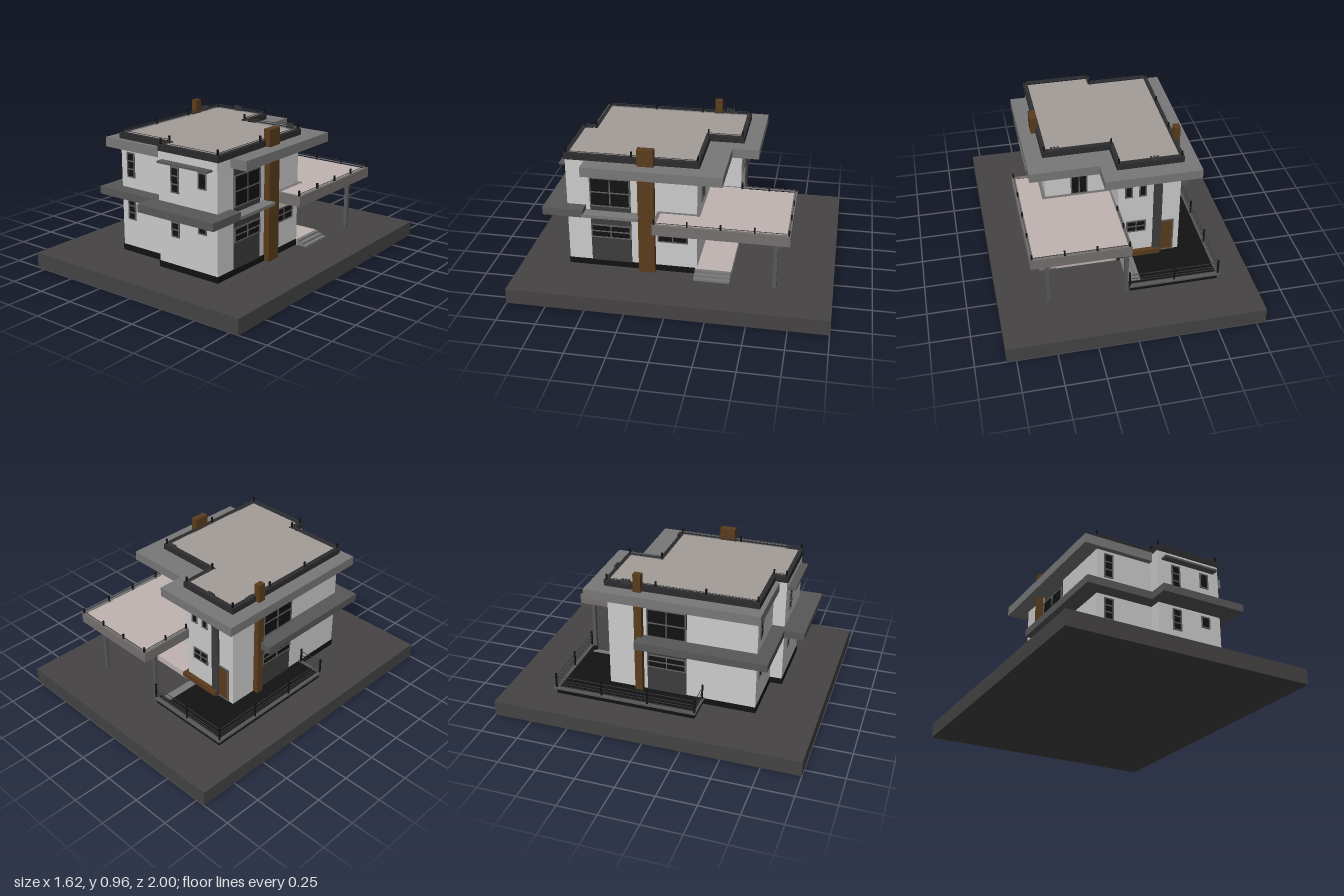
import * as THREE from 'three';

const mat = (color) => new THREE.MeshStandardMaterial({ color, flatShading: true });
const M = {
  wall: mat(0xcccccc), ground: mat(0x454343), slab: mat(0x787878), mid: mat(0x585858),
  black: mat(0x121212), dark: mat(0x3c3c3c), parapet: mat(0x2c2c2e), brown: mat(0x5a3c1c),
  pink: mat(0xc0b4b2), roof: mat(0xa39d9a), deck: mat(0x757070), frame: mat(0x606060),
};

export function createModel() {
  const root = new THREE.Group();

  const add = (name, geo, m, parent = root) => {
    const mesh = new THREE.Mesh(geo, m);
    mesh.name = name;
    parent.add(mesh);
    return mesh;
  };
  // Box given by its extents
  const box = (name, m, x0, x1, y0, y1, z0, z1, parent) => {
    const g = new THREE.BoxGeometry(x1 - x0, y1 - y0, z1 - z0);
    g.translate((x0 + x1) / 2, (y0 + y1) / 2, (z0 + z1) / 2);
    return add(name, g, m, parent);
  };
  // Plan outline of [x, z] corners raised from y0 to y1
  const toPts = (o) => o.map(([x, z]) => new THREE.Vector2(x, -z));
  const plate = (name, m, outline, y0, y1, hole) => {
    const s = new THREE.Shape(toPts(outline));
    if (hole) s.holes.push(new THREE.Path(toPts(hole)));
    const g = new THREE.ExtrudeGeometry(s, { depth: y1 - y0, bevelEnabled: false });
    g.rotateX(-Math.PI / 2).translate(0, y0, 0);
    return add(name, g, m);
  };
  // Moves each side of a right-angled outline inward by d (corners run clockwise in plan)
  const inset = (o, d) => o.map(([x, z], i) => {
    const a = o[(i + o.length - 1) % o.length], b = o[(i + 1) % o.length];
    const ux = Math.sign(x - a[0]), uz = Math.sign(z - a[1]);
    const vx = Math.sign(b[0] - x), vz = Math.sign(b[1] - z);
    return [x - (uz + vz) * d, z + (ux + vx) * d];
  });
  // Railing along a path: posts at corners and between, with thin wires
  const railing = (name, path, y0, h, wires, step) => {
    const g = new THREE.Group();
    g.name = name;
    root.add(g);
    const post = (x, z) => box('railPost', M.black, x - 0.005, x + 0.005, y0, y0 + h, z - 0.005, z + 0.005, g);
    post(...path[0]);
    for (let i = 1; i < path.length; i++) {
      const [ax, az] = path[i - 1], [bx, bz] = path[i];
      const n = Math.max(1, Math.round(Math.hypot(bx - ax, bz - az) / step));
      for (let k = 1; k <= n; k++) post(ax + (bx - ax) * k / n, az + (bz - az) * k / n);
      for (const w of wires) {
        box('railWire', M.dark, Math.min(ax, bx) - 0.0015, Math.max(ax, bx) + 0.0015,
          y0 + w - 0.0015, y0 + w + 0.0015, Math.min(az, bz) - 0.0015, Math.max(az, bz) + 0.0015, g);
      }
    }
  };
  // Framed window: width w, height h, panes cols x rows, turned to face its wall
  const opening = (name, x, y, z, w, h, turn, cols, rows, pane = M.black) => {
    const g = new THREE.Group();
    g.name = name;
    g.position.set(x, y, z);
    g.rotation.y = turn;
    root.add(g);
    box('pane', pane, -w / 2, w / 2, -h / 2, h / 2, -0.01, 0.003, g);
    const t = 0.004;
    for (let i = 0; i <= cols; i++) {
      const c = -w / 2 + w * i / cols;
      box('upright', M.frame, c - t, c + t, -h / 2 - t, h / 2 + t, -0.01, 0.007, g);
    }
    for (let j = 0; j <= rows; j++) {
      const c = -h / 2 + h * j / rows;
      box('crossbar', M.frame, -w / 2, w / 2, c - t, c + t, -0.01, 0.006, g);
    }
  };

  // Ground and plinth
  box('ground', M.ground, -0.81, 0.81, 0, 0.1, -1, 1);
  const house = [[-0.41, -0.36], [-0.005, -0.36], [-0.005, -0.14], [0.42, -0.14],
    [0.42, 0.69], [-0.03, 0.69], [-0.03, 0.61], [-0.41, 0.61]];
  plate('plinth', M.black, inset(house, -0.004), 0.1, 0.14);
  plate('walls', M.wall, house, 0.14, 0.84);

  // Side terrace with rim, steps and railing
  plate('terrace', M.black, [[-0.59, -0.66], [-0.02, -0.66], [-0.02, -0.62], [-0.1, -0.62],
    [-0.1, -0.3], [-0.3, -0.3], [-0.3, 0.27], [-0.59, 0.27]], 0.1, 0.14);
  box('terraceRim', M.mid, -0.605, -0.582, 0.135, 0.147, -0.675, 0.28);
  box('terraceRim', M.mid, -0.605, -0.015, 0.135, 0.147, -0.675, -0.645);
  box('terraceRim', M.mid, -0.605, -0.41, 0.135, 0.147, 0.262, 0.28);
  for (let i = 0; i < 3; i++) {
    box('terraceStep', M.slab, -0.1, -0.02 - i * 0.027, 0.1 + i * 0.0133, 0.1133 + i * 0.0133, -0.62, -0.36);
    box('porchStep', M.slab, 0.4, 0.51 - i * 0.028, 0.1 + i * 0.0133, 0.1133 + i * 0.0133, -0.36, -0.13);
  }
  railing('terraceRailing', [[-0.02, -0.66], [-0.593, -0.66], [-0.593, 0.27], [-0.43, 0.27]],
    0.14, 0.11, [0.02, 0.04, 0.06, 0.09], 0.31);

  // Rear porch and brown landing
  box('porch', M.pink, -0.005, 0.43, 0.1, 0.142, -0.36, -0.13);
  box('landing', M.brown, -0.28, 0.02, 0.14, 0.175, -0.39, -0.15);

  // Middle canopy slab
  plate('middleSlab', M.mid, [[-0.52, -0.15], [-0.2, -0.15], [-0.2, 0.57], [0.5, 0.57],
    [0.5, 0.83], [-0.08, 0.83], [-0.08, 0.7], [-0.52, 0.7]], 0.48, 0.53);
  box('sideLedge', M.slab, 0.41, 0.5, 0.48, 0.5, 0.22, 0.58);

  // Roof slab
  plate('roofSlab', M.slab, [[-0.51, -0.48], [0.1, -0.48], [0.1, -0.31], [0.535, -0.31],
    [0.535, 0.565], [-0.04, 0.565], [-0.04, 0.645], [-0.51, 0.645]], 0.78, 0.841);
  box('frontCanopy', M.mid, 0, 0.385, 0.78, 0.792, 0.68, 0.74);

  // Parapet roof
  const top = [[-0.42, -0.375], [0.005, -0.375], [0.005, -0.155], [0.43, -0.155],
    [0.43, 0.695], [-0.03, 0.695], [-0.03, 0.615], [-0.42, 0.615]];
  plate('roofFloor', M.roof, inset(top, 0.02), 0.84, 0.87);
  plate('parapet', M.parapet, top, 0.84, 0.88, inset(top, 0.028));
  const rail = inset(top, 0.014);
  railing('roofRailing', [...rail, rail[0]], 0.87, 0.045, [0.022], 0.38);
  for (const [x, z, alongZ] of [[-0.23, -0.365, 0], [0.35, -0.145, 0], [-0.415, -0.23, 1]]) {
    for (const k of [-0.02, 0, 0.02]) {
      const cx = x + (alongZ ? 0 : k), cz = z + (alongZ ? k : 0);
      box('roofVent', M.dark, cx - 0.006, cx + 0.006, 0.87, 0.905, cz - 0.006, cz + 0.006);
    }
  }

  // Raised rear deck on columns
  const deck = [[-0.015, -0.73], [0.605, -0.73], [0.605, 0.11], [0.42, 0.11], [0.42, -0.14], [-0.015, -0.14]];
  plate('deckFloor', M.pink, inset(deck, 0.012), 0.465, 0.515);
  plate('deckRim', M.deck, deck, 0.457, 0.525, inset(deck, 0.022));
  railing('deckRailing', [[0, -0.37], [0, -0.72], [0.593, -0.72], [0.593, 0.1]], 0.515, 0.045, [0.022], 0.2);
  for (const x of [0, 0.497]) box('deckColumn', M.mid, x - 0.012, x + 0.012, 0.1, 0.46, -0.652, -0.628);

  // Chimneys
  box('rightChimney', M.brown, 0.415, 0.46, 0.1, 0.95, 0.125, 0.228);
  box('leftChimney', M.brown, -0.445, -0.405, 0.1, 0.96, -0.175, -0.125);

  // Front windows, upper and lower
  for (const [x, z] of [[-0.33, 0.61], [0.1, 0.69]]) {
    opening('frontWindow', x, 0.68, z, 0.055, 0.155, 0, 1, 3);
    opening('frontWindow', x, 0.39, z, 0.055, 0.135, 0, 1, 3);
  }
  opening('smallFrontWindow', 0.31, 0.71, 0.69, 0.055, 0.095, 0, 1, 1);
  opening('smallFrontWindow', 0.31, 0.42, 0.69, 0.055, 0.07, 0, 1, 1);

  // Dark side panels with wide windows, one on each flank
  for (const [s, x, z] of [[1, 0.42, 0.41], [-1, -0.41, 0.03]]) {
    box('sidePanel', M.dark, x - 0.006, x + 0.006, 0.14, 0.78, z - 0.13, z + 0.13);
    opening('sideWindow', x + s * 0.006, 0.63, z, 0.25, 0.19, s * Math.PI / 2, 2, 2);
    opening('sideWindow', x + s * 0.006, 0.355, z, 0.25, 0.085, s * Math.PI / 2, 2, 2);
  }
  opening('kitchenWindow', 0.42, 0.355, 0.015, 0.185, 0.085, Math.PI / 2, 2, 2);

  // Rear wall: windows, door and dark vertical strip
  for (const x of [-0.075, -0.165]) opening('rearWindow', x, 0.65, -0.36, 0.04, 0.08, Math.PI, 1, 1);
  opening('rearWideWindow', -0.125, 0.37, -0.36, 0.12, 0.08, Math.PI, 2, 2);
  opening('rearDoor', -0.325, 0.265, -0.36, 0.09, 0.24, Math.PI, 1, 1, M.brown);
  opening('deckDoor', 0.2, 0.6, -0.14, 0.1, 0.15, Math.PI, 2, 1);
  box('rearStrip', M.dark, -0.29, -0.235, 0.14, 0.86, -0.374, -0.355);
  return root;
}
